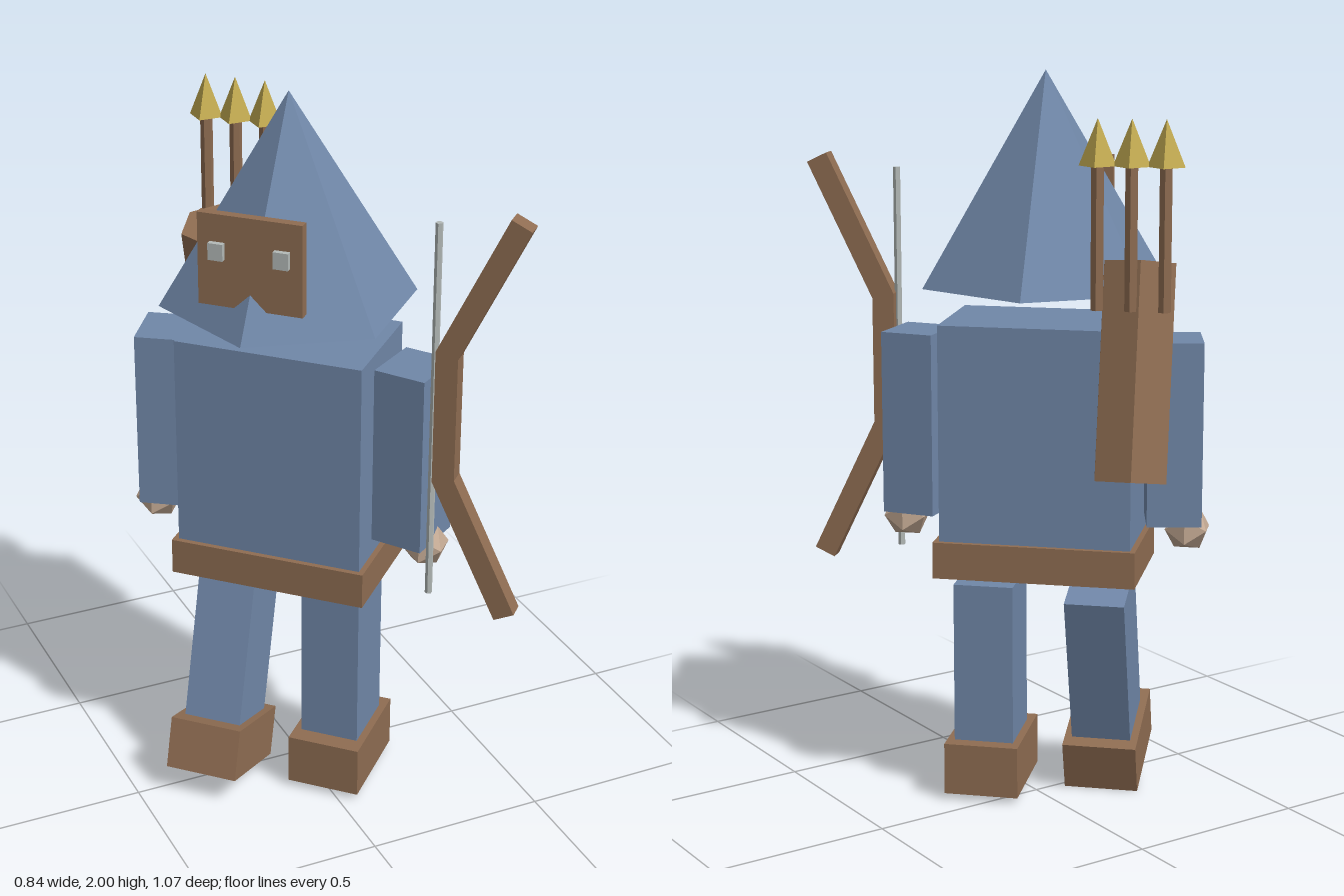
import * as THREE from 'three';

const mat = (name, color) => {
  const m = new THREE.MeshStandardMaterial({ color, flatShading: true });
  m.name = name;
  return m;
};

export function createModel() {
  const cloth = mat('blue cloth', 0x7087a8);
  const leather = mat('brown leather', 0x8f6d52);
  const skin = mat('skin', 0xc4aa94);
  const gold = mat('gold', 0xc4ac52);
  const grey = mat('light grey', 0xb4bab8);

  const root = new THREE.Group();
  root.name = 'archer';
  // The figure stands turned towards its right
  const figure = new THREE.Group();
  figure.name = 'figure';
  figure.rotation.y = -Math.PI / 4;
  figure.position.x = -0.03;
  root.add(figure);

  const add = (name, geo, material, x, y, z, parent = figure) => {
    const mesh = new THREE.Mesh(geo, material);
    mesh.name = name;
    mesh.position.set(x, y, z);
    parent.add(mesh);
    return mesh;
  };
  const box = (w, h, d) => new THREE.BoxGeometry(w, h, d);

  // Body, belt and hood
  add('torso', box(0.52, 0.59, 0.33), cloth, 0, 1.045, 0);
  add('belt', box(0.55, 0.1, 0.36), leather, 0, 0.7, 0);
  add('hood', new THREE.ConeGeometry(0.343, 0.563, 6), cloth, 0, 1.7185, 0);

  // Face plate with eyes
  add('face', box(0.28, 0.245, 0.026), leather, 0, 1.633, 0.26);
  for (const s of [-1, 1]) add('eye', box(0.04, 0.045, 0.02), grey, s * 0.087, 1.66, 0.278);

  for (const s of [-1, 1]) {
    const side = s > 0 ? 'left' : 'right';
    // Arms turn slightly inward
    add(side + 'Arm', box(0.147, 0.5, 0.17), cloth, s * 0.35, 1.05, 0).rotation.y = -s * 0.19;
    add(side + 'Hand', new THREE.IcosahedronGeometry(0.066, 0), skin, s * 0.39, 0.78, 0);

    // Each leg hangs from a hip pivot; the right one steps forward
    const hip = new THREE.Group();
    hip.name = side + 'Leg';
    hip.position.set(s * 0.155, 0.54, 0);
    if (s < 0) hip.rotation.x = -0.3;
    figure.add(hip);
    add('leg', box(0.165, 0.45, 0.195), cloth, 0, -0.155, 0, hip);
    add('boot', box(0.206, 0.145, 0.286), leather, 0, -0.4505, 0.005, hip);
  }

  // Quiver slung on the back, with three arrows
  const quiver = add('quiver', new THREE.CylinderGeometry(0.105, 0.105, 0.56, 6), leather, -0.285, 1.255, -0.273);
  quiver.rotation.set(0.24, 0.165, 0);
  for (let i = -1; i <= 1; i++) {
    const x = -0.281 + i * 0.086;
    add('arrowShaft', new THREE.CylinderGeometry(0.017, 0.017, 0.365, 6), leather, x, 1.607, -0.332);
    add('arrowHead', new THREE.ConeGeometry(0.048, 0.118, 4), gold, x, 1.846, -0.332);
  }

  // Bow: each cross-section runs along the centre line in the x-y plane
  const limb = new THREE.Shape();
  const path = [[0.46, 1.02], [0.46, 1.38], [0.64, 1.755]];
  const full = [[0.64, 0.645], ...path];
  const normals = [[-0.901, -0.433], [-1, -0.23], [-1, 0.23], [-0.901, 0.433]];
  const h = 0.03;
  const inner = full.map(([x, y], i) => new THREE.Vector2(x + normals[i][0] * h, y - normals[i][1] * -h));
  const outer = full.map(([x, y], i) => new THREE.Vector2(x - normals[i][0] * h, y + normals[i][1] * -h));
  limb.setFromPoints([...inner, ...outer.reverse()]);
  const bow = new THREE.ExtrudeGeometry(limb, { depth: 0.05, bevelEnabled: false });
  add('bow', bow, leather, 0, 0, 0.036);
  add('bowString', new THREE.CylinderGeometry(0.01, 0.01, 1.06, 6), grey, 0.425, 1.2, 0.069);

  return root;
}
